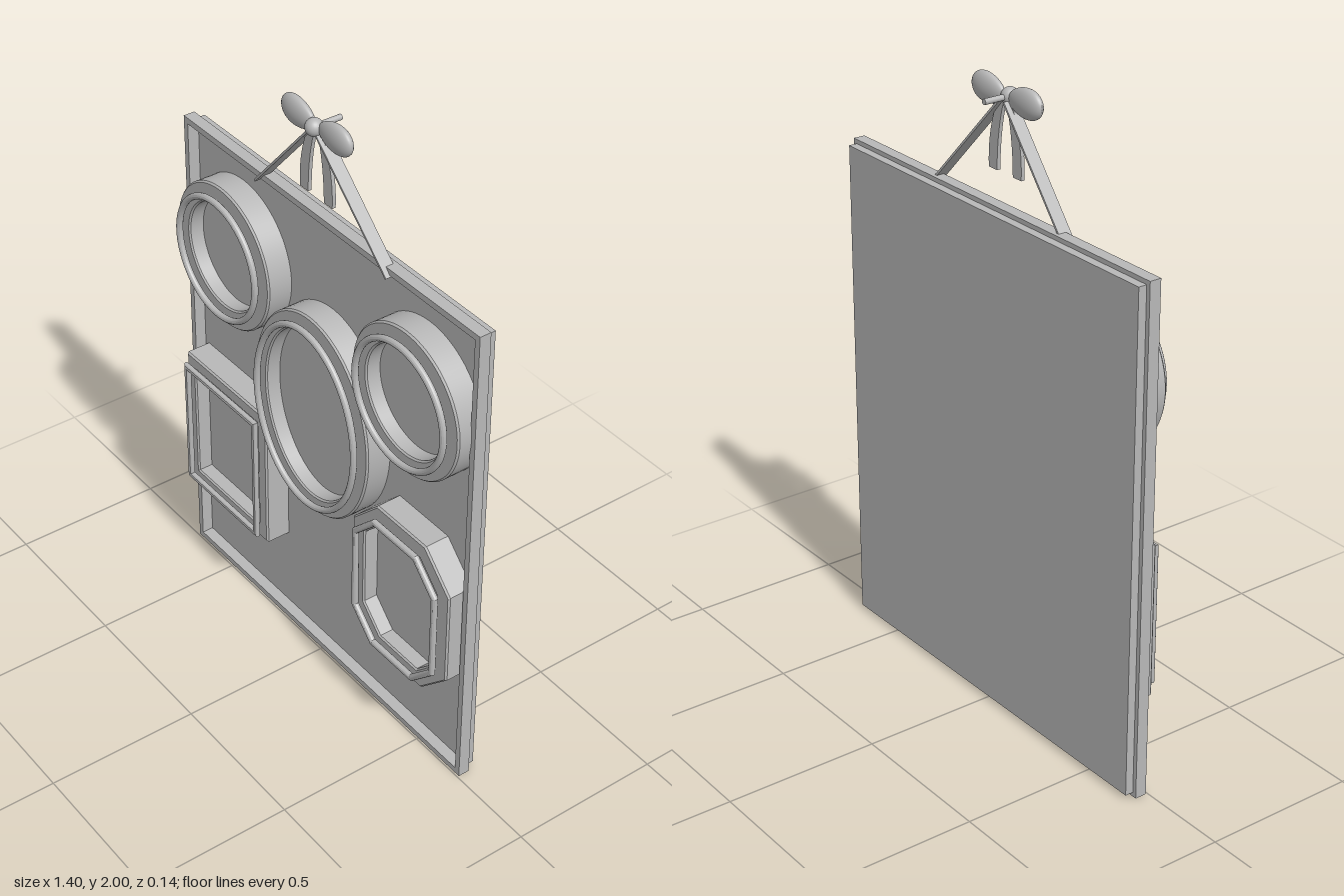
import * as THREE from 'three';
import { toCreasedNormals } from 'three/addons/utils/BufferGeometryUtils.js';

const grey = new THREE.MeshStandardMaterial({ color: 0xb8b8b8 });
grey.name = 'plain grey';

// Outlines: each returns counter-clockwise points, moved inwards by d
const ellipse = (rx, ry) => (d) => Array.from({ length: 72 }, (_, i) => {
  const a = (i / 72) * Math.PI * 2;
  return [(rx - d) * Math.cos(a), (ry - d) * Math.sin(a)];
});
const rectangle = (w, h) => (d) => [[w - d, d - h], [w - d, h - d], [d - w, h - d], [d - w, d - h]];
const octagon = (w, h, cut) => (d) => {
  const x = w - d, y = h - d, c = cut - d * (2 - Math.SQRT2);
  return [[x, c - y], [x, y - c], [x - c, y], [c - x, y], [-x, y - c], [-x, c - y], [c - x, -y], [x - c, -y]];
};

// Carries a closed profile of [inset, z] pairs around an outline
function loft(outline, profile) {
  const rings = profile.map(([d, z]) => outline(d).map(([x, y]) => [x, y, z]));
  const n = rings[0].length, m = rings.length, index = [];
  for (let j = 0; j < m; j++) {
    for (let i = 0; i < n; i++) {
      const k = (i + 1) % n, l = (j + 1) % m;
      const a = j * n + i, b = j * n + k, c = l * n + k, e = l * n + i;
      index.push(a, b, c, a, c, e);
    }
  }
  const g = new THREE.BufferGeometry();
  g.setAttribute('position', new THREE.Float32BufferAttribute(rings.flat(2), 3));
  g.setIndex(index);
  return toCreasedNormals(g, 0.5);
}

function add(parent, name, geometry, x = 0, y = 0, z = 0) {
  const mesh = new THREE.Mesh(geometry, grey);
  mesh.name = name;
  mesh.position.set(x, y, z);
  parent.add(mesh);
  return mesh;
}

// Picture frame: thick moulding, raised round rim and recessed picture
function pictureFrame(name, outline, x, y, rimInset, opening) {
  const group = new THREE.Group();
  group.name = name;
  group.position.set(x, y, 0);
  add(group, 'moulding', loft(outline, [
    [0, -0.044], [0, 0.034], [0.005, 0.04], [opening - 0.005, 0.04], [opening, 0.035], [opening, -0.044],
  ]));
  const r = 0.0105;
  const round = Array.from({ length: 12 }, (_, i) => {
    const t = (i / 12) * Math.PI * 2;
    return [rimInset + r - r * Math.cos(t), 0.06 + r * Math.sin(t)];
  });
  add(group, 'rim', loft(outline, round));
  const shape = new THREE.Shape(outline(opening).map(([px, py]) => new THREE.Vector2(px, py)));
  add(group, 'picture', new THREE.ShapeGeometry(shape), 0, 0, -0.01);
  return group;
}

export function createModel() {
  const model = new THREE.Group();
  model.name = 'hangingPictureBoard';

  // Board with raised border
  add(model, 'border', loft(rectangle(0.7, 0.82), [
    [0, -0.044], [0, -0.006], [0.02, -0.006], [0.02, -0.044],
  ]), 0, 0.82);
  add(model, 'backing', new THREE.BoxGeometry(1.372, 1.612, 0.027), 0, 0.82, -0.0575);

  // Five picture frames
  model.add(
    pictureFrame('leftRoundFrame', ellipse(0.24, 0.24), 0.445, 1.288, 0.03, 0.065),
    pictureFrame('rightRoundFrame', ellipse(0.24, 0.24), -0.445, 1.288, 0.03, 0.065),
    pictureFrame('ovalFrame', ellipse(0.282, 0.353), 0, 0.963, 0.028, 0.059),
    pictureFrame('squareFrame', rectangle(0.215, 0.249), -0.447, 0.557, 0.02, 0.044),
    pictureFrame('octagonFrame', octagon(0.228, 0.276, 0.115), 0.445, 0.562, 0.03, 0.057),
  );

  // Bow
  const bow = new THREE.Group();
  bow.name = 'bow';
  bow.position.set(0, 1.95, 0.012);
  model.add(bow);
  add(bow, 'knot', new THREE.SphereGeometry(0.027, 24, 16), 0, 0, 0.01);
  const peg = add(bow, 'peg', new THREE.CylinderGeometry(0.009, 0.009, 0.09, 16), 0, 0, -0.036);
  peg.rotation.x = Math.PI / 2;

  const tailShape = new THREE.Shape();
  tailShape.moveTo(0.004, -0.01);
  tailShape.quadraticCurveTo(0.036, -0.1, 0.037, -0.228);
  tailShape.lineTo(0.076, -0.228);
  tailShape.quadraticCurveTo(0.082, -0.11, 0.03, -0.01);
  const tailGeometry = new THREE.ExtrudeGeometry(tailShape, { depth: 0.012, bevelEnabled: false, curveSegments: 12 });

  for (const side of [1, -1]) {
    const name = side > 0 ? 'left' : 'right';
    // Loop of the bow, narrower towards the knot
    const loop = new THREE.SphereGeometry(1, 32, 20);
    const p = loop.attributes.position;
    for (let i = 0; i < p.count; i++) {
      const x = p.getX(i), taper = 0.96 + 0.16 * x * side;
      p.setXYZ(i, x * 0.075, p.getY(i) * 0.047 * taper, p.getZ(i) * 0.024 * taper);
    }
    loop.computeVertexNormals();
    add(bow, name + 'Loop', loop, side * 0.085, 0.003, 0).rotation.z = side * 0.05;

    // Hanging tail
    const tail = add(bow, name + 'Tail', tailGeometry, 0, 0, -0.008);
    if (side < 0) {
      tail.rotation.y = Math.PI;
      tail.position.z = 0.004;
    }

    // Ribbon from the knot to the board, its width running front to back
    const dx = 0.3, dy = -0.325;
    const ribbon = new THREE.BoxGeometry(Math.hypot(dx, dy), 0.007, 0.042);
    const q = ribbon.attributes.position;
    for (let i = 0; i < q.count; i++) q.setZ(i, q.getZ(i) - (q.getX(i) * side > 0 ? 0.011 : -0.011));
    ribbon.computeVertexNormals();
    add(model, name + 'Ribbon', ribbon, side * 0.162, 1.777, -0.001).rotation.z = side * Math.atan2(dy, dx);
  }
  return model;
}
